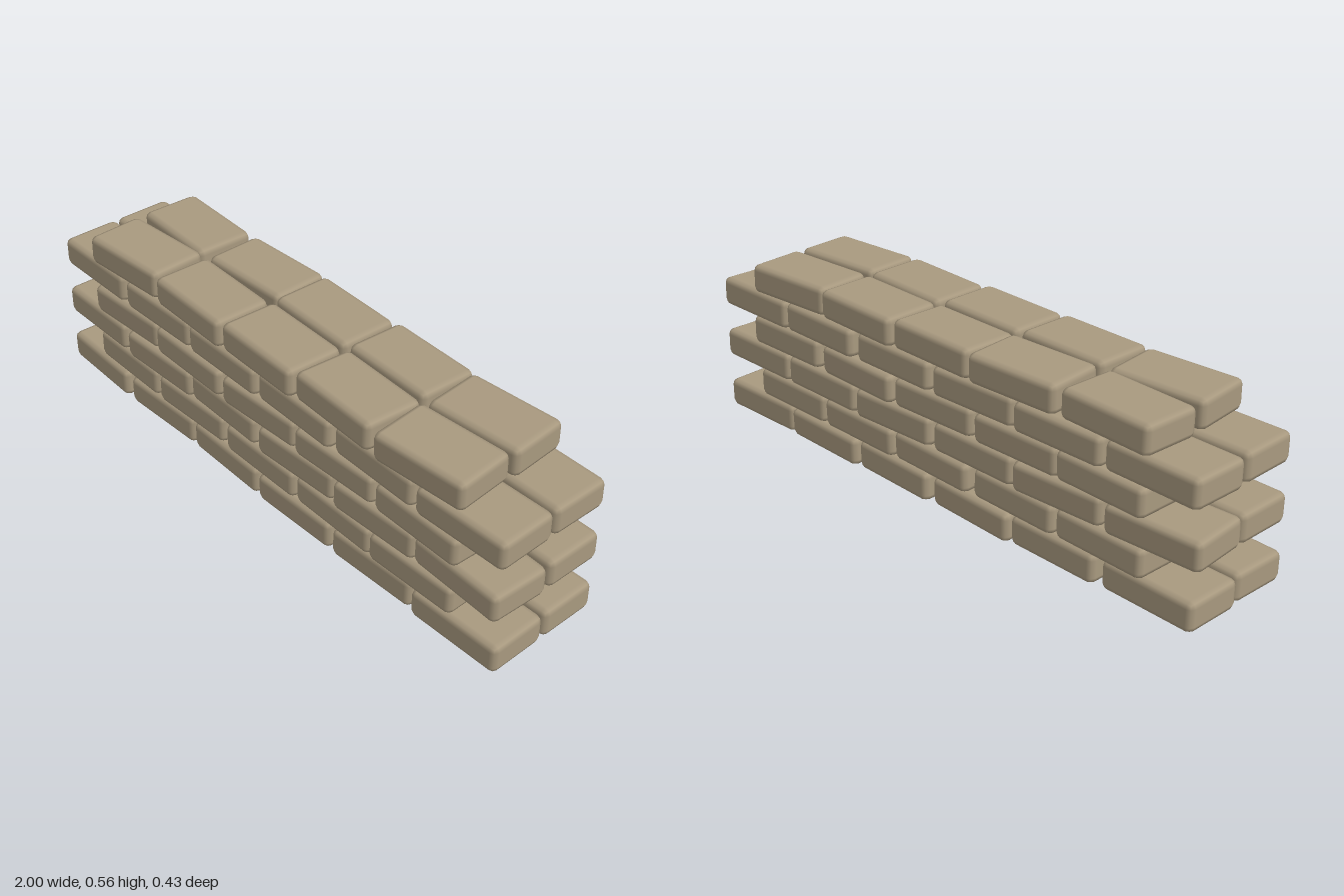
import * as THREE from 'three';
import { RoundedBoxGeometry } from 'three/addons/geometries/RoundedBoxGeometry.js';

const LENGTH = 0.322, HEIGHT = 0.096, DEPTH = 0.198;
const PITCH = 0.0925, HALF_GAP = 0.105;

// Brick centres along x for each course, bottom to top
const COURSES = [
  [-0.838, -0.5, -0.168, 0.16, 0.495, 0.828],
  [-0.67, -0.342, 0.002, 0.332, 0.655],
  [-0.838, -0.5, -0.175, 0.165, 0.5, 0.825],
  [-0.67, -0.34, -0.002, 0.33, 0.67],
  [-0.838, -0.5, -0.172, 0.16, 0.495, 0.825],
  [-0.668, -0.328, 0, 0.328, 0.66],
];

// Yaw in degrees of the exposed top course, front and back rows
const TOP_YAW = { front: [3.5, -2, -2, -3, 4], back: [-3, 2, -2, -2, 4] };

// Small repeatable jitter in -1..1
function makeJitter(seed) {
  let s = seed;
  return () => {
    s = (s * 16807) % 2147483647;
    return (s / 2147483647) * 2 - 1;
  };
}

export function createModel() {
  const wall = new THREE.Group();
  wall.name = 'brickWall';
  const geometry = new RoundedBoxGeometry(LENGTH, HEIGHT, DEPTH, 1, 0.02);
  const material = new THREE.MeshStandardMaterial({ color: 0xa8997f });
  const jitter = makeJitter(4711);
  const rad = THREE.MathUtils.degToRad;

  // Two rows of bricks, back to back
  for (const [side, sign] of [['front', 1], ['back', -1]]) {
    const row = new THREE.Group();
    row.name = side + 'Row';
    COURSES.forEach((centres, level) => {
      const course = new THREE.Group();
      course.name = side + 'Course' + (level + 1);
      centres.forEach((x, i) => {
        const brick = new THREE.Mesh(geometry, material);
        brick.name = 'brick';
        const top = level === COURSES.length - 1;
        const yaw = top ? TOP_YAW[side][i] : jitter() * 2.5;
        const shift = sign > 0 ? 0 : jitter() * 0.005;
        brick.position.set(x + shift, 0.052 + level * PITCH, sign * HALF_GAP + jitter() * 0.004);
        brick.rotation.set(rad(jitter() * 1.5), rad(yaw), rad(jitter() * 0.4));
        course.add(brick);
      });
      row.add(course);
    });
    wall.add(row);
  }
  return wall;
}
